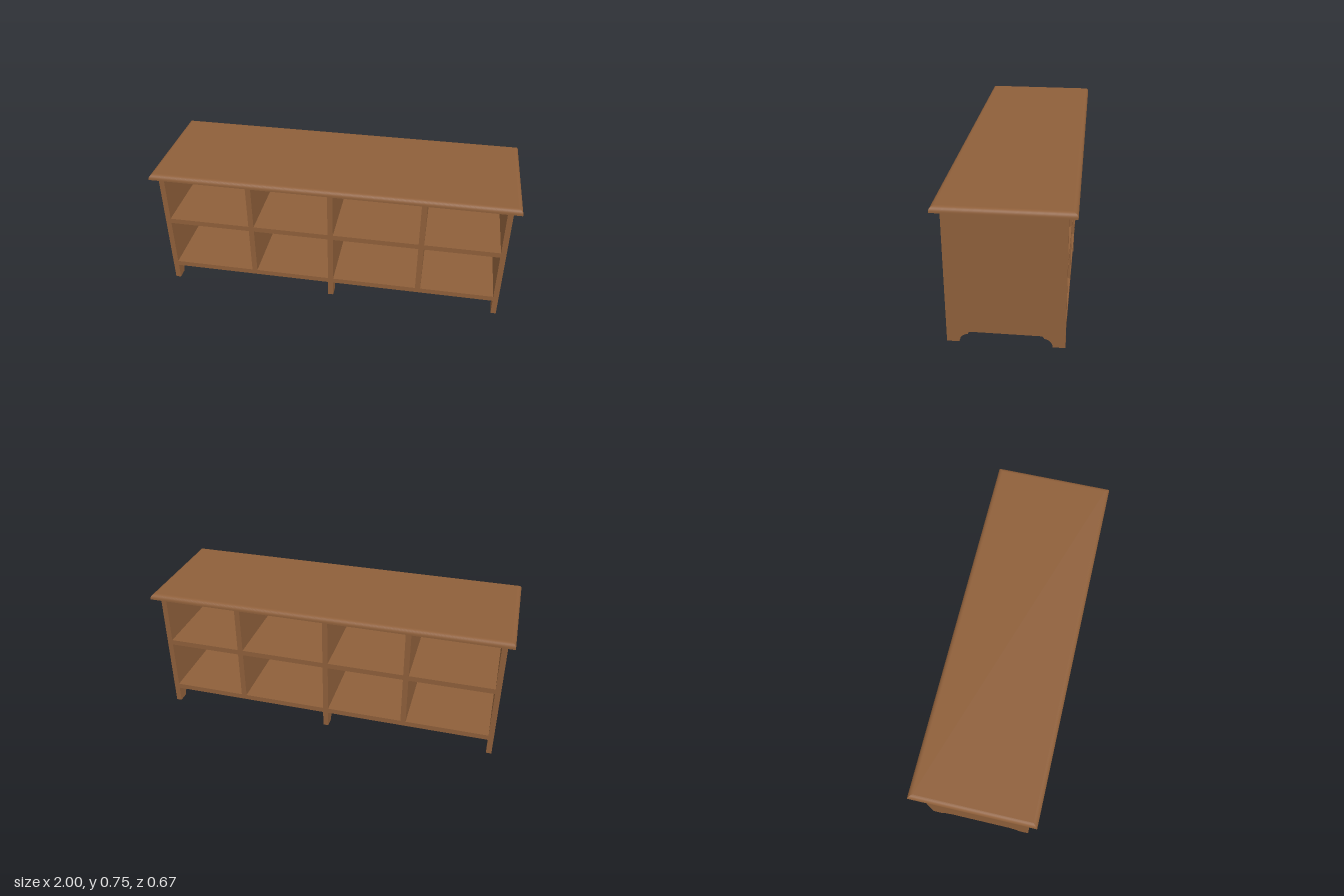
import * as THREE from 'three';

const T = 0.03;          // board thickness
const HALF_Z = 0.292;    // half depth of the carcass
const TOP_Y = 0.72;      // underside of the top
const SHELVES = { lowerShelf: 0.108, middleShelf: 0.422 };
const wood = new THREE.MeshStandardMaterial({ color: 0x8e5f3a });

function add(parent, name, geometry, x = 0, y = 0, z = 0) {
  const mesh = new THREE.Mesh(geometry, wood);
  mesh.name = name;
  mesh.position.set(x, y, z);
  parent.add(mesh);
}

// Upright board with a stepped, arched cut-out that leaves a foot at each end
function uprightGeometry() {
  const s = new THREE.Shape();
  s.moveTo(-HALF_Z, TOP_Y);
  s.lineTo(-HALF_Z, 0);
  s.lineTo(-0.23, 0);
  s.absellipse(-0.187, 0, 0.043, 0.046, Math.PI, Math.PI / 2, true);
  s.absellipse(-0.171, 0.046, 0.016, 0.015, Math.PI, Math.PI / 2, true);
  s.lineTo(0.171, 0.061);
  s.absellipse(0.171, 0.046, 0.016, 0.015, Math.PI / 2, 0, true);
  s.lineTo(0.187, 0.046);
  s.absellipse(0.187, 0, 0.043, 0.046, Math.PI / 2, 0, true);
  s.lineTo(HALF_Z, 0);
  s.lineTo(HALF_Z, TOP_Y);
  const g = new THREE.ExtrudeGeometry(s, { depth: T, bevelEnabled: false, curveSegments: 8 });
  return g.translate(0, 0, -T / 2).rotateY(-Math.PI / 2);
}

// Top board: rectangular loops, inset along a quarter round, with mitred corners
function topGeometry(hx, hz, height, radius) {
  const loops = [[0, 0]]; // [inset, height]
  for (let i = 0; i <= 8; i++) {
    const a = (i / 8) * Math.PI / 2;
    loops.push([radius * (1 - Math.cos(a)), height - radius * (1 - Math.sin(a))]);
  }
  const corners = [[1, 1], [1, -1], [-1, -1], [-1, 1]];
  const pos = [], index = [];
  const vertex = (k, [inset, y]) => {
    const [sx, sz] = corners[k % 4];
    pos.push(sx * (hx - inset), y, sz * (hz - inset));
  };
  // Four moulded edges, each with its own vertices so the mitres stay sharp
  for (let k = 0; k < 4; k++) {
    const base = pos.length / 3;
    loops.forEach((loop, i) => {
      vertex(k, loop);
      vertex(k + 1, loop);
      if (i) {
        const a = base + 2 * (i - 1);
        index.push(a, a + 1, a + 3, a, a + 3, a + 2);
      }
    });
  }
  // Flat underside and upper face
  for (const up of [false, true]) {
    const b = pos.length / 3;
    for (let k = 0; k < 4; k++) vertex(k, loops[up ? loops.length - 1 : 0]);
    index.push(...(up ? [b, b + 1, b + 2, b, b + 2, b + 3] : [b, b + 2, b + 1, b, b + 3, b + 2]));
  }
  const g = new THREE.BufferGeometry();
  g.setAttribute('position', new THREE.Float32BufferAttribute(pos, 3));
  g.setIndex(index);
  g.computeVertexNormals();
  return g;
}

export function createModel() {
  const bench = new THREE.Group();
  bench.name = 'storageBench';

  add(bench, 'top', topGeometry(1, 0.334, 0.03, 0.024), 0, TOP_Y, 0);

  // Three footed uprights
  const uprights = { rightPanel: -0.949, centrePanel: -0.002, leftPanel: 0.945 };
  const panel = uprightGeometry();
  for (const [name, x] of Object.entries(uprights)) add(bench, name, panel, x);

  // Two bays, each with two shelves and a divider above and below the middle shelf
  const bays = [
    ['right', uprights.rightPanel, uprights.centrePanel, -0.457],
    ['left', uprights.centrePanel, uprights.leftPanel, 0.504],
  ];
  for (const [side, x0, x1, dividerX] of bays) {
    const bay = new THREE.Group();
    bay.name = side + 'Bay';
    bench.add(bay);
    for (const [name, y] of Object.entries(SHELVES)) {
      add(bay, name, new THREE.BoxGeometry(x1 - x0 - T, T, 2 * HALF_Z), (x0 + x1) / 2, y);
    }
    const spans = [
      ['lowerDivider', SHELVES.lowerShelf + T / 2, SHELVES.middleShelf - T / 2],
      ['upperDivider', SHELVES.middleShelf + T / 2, TOP_Y],
    ];
    for (const [name, y0, y1] of spans) {
      add(bay, name, new THREE.BoxGeometry(T, y1 - y0, 2 * HALF_Z), dividerX, (y0 + y1) / 2);
    }
  }
  return bench;
}
